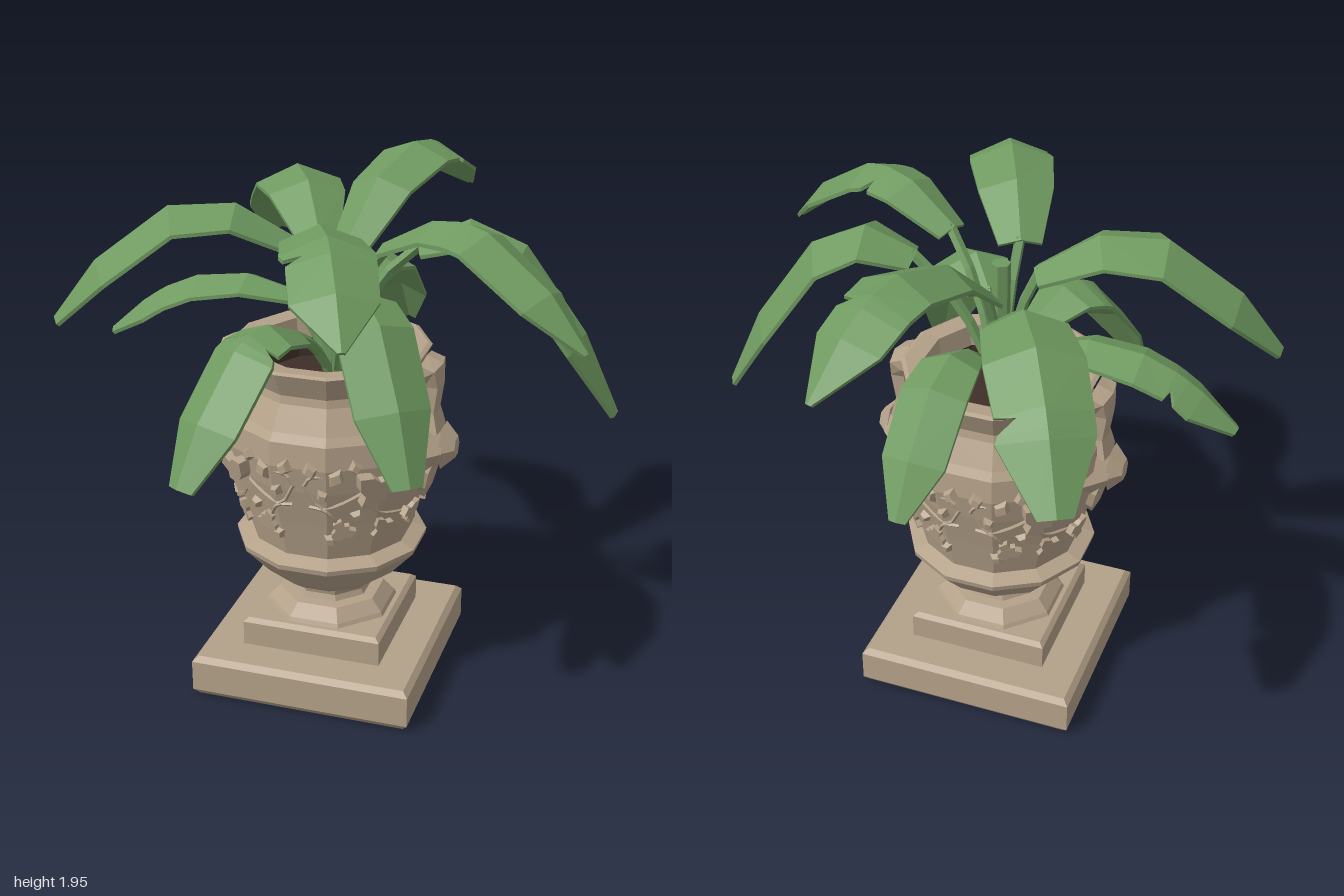
import * as THREE from 'three';

const CX = -0.04, CZ = 0.02; // axis of the urn
const V = (x, y, z) => new THREE.Vector3(x, y, z);
const mat = (name, color) => {
  const m = new THREE.MeshStandardMaterial({ color });
  m.name = name;
  return m;
};

// Give every face its own flat normal
function flat(geo) {
  const g = geo.index ? geo.toNonIndexed() : geo;
  g.computeVertexNormals();
  return g;
}

// Faceted lathe with a flat side to the front; radii are measured to the flats
function turned(profile, sides) {
  const k = 1 / Math.cos(Math.PI / sides);
  const pts = profile.map(([r, y]) => new THREE.Vector2(r * k, y));
  return flat(new THREE.LatheGeometry(pts, sides, Math.PI / sides));
}

// Solid roof-shaped strip along stations {p, l, r}: l and r are half widths
function strip(stations, hint, slope, thick) {
  const n = stations.length, pos = [], idx = [];
  const side = stations[n - 1].p.clone().sub(stations[0].p).cross(hint).normalize();
  stations.forEach(({ p, l, r }, i) => {
    const t = stations[Math.min(i + 1, n - 1)].p.clone().sub(stations[Math.max(i - 1, 0)].p);
    const up = side.clone().cross(t).normalize();
    const at = (w, h) => pos.push(...p.clone().addScaledVector(side, w).addScaledVector(up, h).toArray());
    at(-l, -l * slope); at(0, 0); at(r, -r * slope);
    at(r, -r * slope - thick); at(0, -thick); at(-l, -l * slope - thick);
  });
  for (let i = 0; i < n - 1; i++) {
    for (let k = 0; k < 6; k++) {
      const a = i * 6 + k, d = i * 6 + (k + 1) % 6;
      idx.push(a, d, d + 6, a, d + 6, a + 6);
    }
  }
  const e = (n - 1) * 6;
  for (const [a, b, c] of [[0, 1, 4], [0, 4, 5], [1, 2, 3], [1, 3, 4]]) {
    idx.push(a, c, b, e + a, e + b, e + c);
  }
  const g = new THREE.BufferGeometry();
  g.setAttribute('position', new THREE.Float32BufferAttribute(pos, 3));
  g.setIndex(idx);
  return flat(g);
}

// Point on a leaf's midrib: straight in plan, height a parabola through three values
function midrib([x0, z0, x1, z1, y0, yMid, y1], t) {
  const y = y0 * (2 * t - 1) * (t - 1) + yMid * 4 * t * (1 - t) + y1 * t * (2 * t - 1);
  return V(x0 + (x1 - x0) * t, y, z0 + (z1 - z0) * t);
}

// Blade stations; a torn notch narrows one side briefly
function bladeStations(leaf, halfWidth, tip, notchAt, notchSide) {
  const outline = [[0, 0.5], [0.25, 0.88], [0.52, 1], [0.82, 0.9 + tip * 0.2], [1, tip]];
  const out = outline.map(([t, w]) => ({ t, p: midrib(leaf, t), l: w * halfWidth, r: w * halfWidth }));
  if (notchSide) {
    for (const [dt, cut] of [[-0.02, 0.95], [0, 0.55], [0.04, 0.92]]) {
      const t = notchAt + dt, w = halfWidth * 0.98;
      out.push({ t, p: midrib(leaf, t), l: notchSide < 0 ? w * cut : w, r: notchSide > 0 ? w * cut : w });
    }
  }
  return out.sort((a, b) => a.t - b.t);
}

// Outer wall of the bowl
const WALL = [
  [0.19, 0.405], [0.255, 0.455], [0.345, 0.56], [0.348, 0.58], [0.295, 0.603], [0.33, 0.75],
  [0.37, 0.90], [0.39, 1.0], [0.385, 1.09], [0.365, 1.12], [0.32, 1.21], [0.315, 1.24], [0.355, 1.33],
];
function onWall(angle, y, out) {
  const i = WALL.findIndex((w) => w[1] >= y);
  const [r0, y0] = WALL[i - 1], [r1, y1] = WALL[i];
  const step = Math.PI / 6;
  const apothem = r0 + (r1 - r0) * (y - y0) / (y1 - y0);
  const r = apothem / Math.cos(angle - Math.round(angle / step) * step) + out;
  return V(Math.sin(angle) * r, y, Math.cos(angle) * r);
}

export function createModel() {
  const stone = mat('stone', 0xb4a189);
  const green = mat('leaf green', 0x6f9a60);
  const earth = mat('dark earth', 0x3e2e28);
  const model = new THREE.Group();
  const urn = new THREE.Group();
  urn.name = 'urn';
  urn.position.set(CX, 0, CZ);
  model.add(urn);
  const add = (parent, name, geo, material) => {
    const m = new THREE.Mesh(geo, material);
    m.name = name;
    parent.add(m);
    return m;
  };

  // Stepped square base, foot and bowl
  add(urn, 'base', turned([[0, 0], [0.4, 0], [0.42, 0.025], [0.42, 0.145], [0.4, 0.165], [0, 0.165]], 4), stone);
  add(urn, 'plinth', turned([[0.267, 0.16], [0.267, 0.26], [0.25, 0.275], [0, 0.275]], 4), stone);
  add(urn, 'foot', turned([[0.235, 0.27], [0.225, 0.29], [0.185, 0.335], [0.145, 0.338], [0.137, 0.36], [0.15, 0.41]], 8), stone);
  add(urn, 'bowl', turned([[0, 0.405], ...WALL, [0.34, 1.337], [0.275, 1.33], [0.265, 1.25]], 12), stone);
  add(urn, 'innerWall', turned([[0.265, 1.25], [0.255, 1.17]], 12), earth);
  add(urn, 'soil', turned([[0.26, 1.18], [0, 1.2]], 12), earth);

  // Strap handles with medallion and hanging leaf
  for (const s of [1, -1]) {
    const handle = new THREE.Group();
    handle.name = s > 0 ? 'leftHandle' : 'rightHandle';
    urn.add(handle);
    const out = V(s, 0, 0);
    const bar = (list) => list.map(([x, y, w]) => ({ p: V(x * s, y, 0), l: w, r: w }));
    add(handle, 'strap', strip(bar([
      [0.36, 1.325, 0.08], [0.42, 1.30, 0.08], [0.425, 1.22, 0.055], [0.41, 1.12, 0.05], [0.43, 1.05, 0.065],
    ]), out, 0.2, 0.05), stone);
    const flare = add(handle, 'medallion', flat(new THREE.CylinderGeometry(0.085, 0.17, 0.08, 6)), stone);
    flare.rotation.z = -s * Math.PI / 2;
    flare.position.set(s * 0.40, 0.98, 0);
    flare.scale.x = 0.62;
    const boss = add(handle, 'medallionBoss', flat(new THREE.CylinderGeometry(0.04, 0.09, 0.05, 6)), stone);
    boss.rotation.z = -s * Math.PI / 2;
    boss.position.set(s * 0.453, 0.98, 0);
    add(handle, 'hangingLeaf', strip(bar([
      [0.425, 0.95, 0.06], [0.41, 0.89, 0.08], [0.39, 0.82, 0.065], [0.362, 0.76, 0.005],
    ]), out, 0.2, 0.04), stone);
  }

  // Carved vine: leaves [angle, height, size, tilt] and curling stems [angle, height]
  const half = [[0.25, -0.45], [0.8, -0.65], [1, -0.05], [0.5, 0.15], [0.45, 0.55]];
  const mirrored = half.map(([x, y]) => [-x, y]).reverse();
  const lobes = new THREE.Shape([[0, -0.7], ...half, [0, 1], ...mirrored].map((p) => new THREE.Vector2(...p)));
  const lobed = flat(new THREE.ExtrudeGeometry(lobes, { depth: 0.6, bevelEnabled: false }));
  const diamond = flat(new THREE.CylinderGeometry(0.55, 1, 0.8, 4).rotateX(Math.PI / 2).translate(0, 0, 0.35));
  const sprigs = [
    [7, 1.0, 0.038, 0.3], [20, 0.975, 0.045, -0.5], [40, 0.925, 0.09, 0.8], [24, 0.74, 0.055, 2.4],
    [50, 0.73, 0.055, 0.5], [73, 0.75, 0.055, -0.8], [13, 0.90, 0.03, 0.6], [33, 0.80, 0.033, 1.2],
    [30, 1.01, 0.033, 0.2], [17, 0.70, 0.033, 0.9],
  ];
  const vines = [
    [[3, 0.93], [12, 0.84], [24, 0.86], [40, 0.92]],
    [[5, 0.84], [14, 0.83], [24, 0.74]],
    [[36, 0.88], [46, 0.80], [73, 0.75]],
    [[3, 0.93], [7, 0.97], [20, 0.97]],
  ];
  for (const turn of [0, Math.PI]) {
    const relief = new THREE.Group();
    relief.name = turn ? 'backRelief' : 'frontRelief';
    relief.rotation.y = turn;
    urn.add(relief);
    for (const s of [1, -1]) {
      for (const [deg, y, size, tilt] of sprigs) {
        const a = s * deg * Math.PI / 180;
        const leaf = add(relief, 'carvedLeaf', size > 0.05 ? lobed : diamond, stone);
        leaf.position.copy(onWall(a, y, -0.004));
        leaf.rotation.set(y < 0.95 ? 0.2 : 0, a, s * tilt, 'YXZ');
        leaf.scale.set(size * 0.85, size, Math.max(size * 0.75, 0.035));
      }
      for (const v of vines) {
        const curve = new THREE.CatmullRomCurve3(v.map(([d, y]) => onWall(s * d * Math.PI / 180, y, 0.002)));
        add(relief, 'carvedVine', flat(new THREE.TubeGeometry(curve, 8, 0.007, 4)), stone);
      }
    }
  }

  // Plant: each leaf is [x0, z0, x1, z1, y0, yMid, y1], then half width, tip width, notch place and side
  const plant = new THREE.Group();
  plant.name = 'plant';
  model.add(plant);
  const addLeaf = (leaf, halfWidth, tip, notchAt, notchSide) => {
    add(plant, 'leafBlade', strip(bladeStations(leaf, halfWidth, tip, notchAt, notchSide), V(0, 1, 0), 0.4, 0.014), green);
    const root = V(-0.035, 1.18, 0.02);
    const end = midrib(leaf, 0.03).add(V(0, -0.025, 0));
    const mid = root.clone().lerp(end, 0.3);
    mid.y = root.y + (end.y - root.y) * 0.7;
    const curve = new THREE.QuadraticBezierCurve3(root, mid, end);
    add(plant, 'leafStalk', flat(new THREE.TubeGeometry(curve, 4, 0.02, 5)), green);
  };
  addLeaf([-0.15, -0.18, -0.56, -0.92, 1.68, 1.82, 1.45], 0.165, 0.35, 0.75, 1);
  addLeaf([-0.02, -0.05, 0.24, -0.95, 1.66, 1.95, 1.7], 0.14, 0.08, 0.67, 1);
  addLeaf([0.27, 0, 0.99, -0.13, 1.74, 1.75, 1.13], 0.165, 0.25, 0, 0);
  addLeaf([0.19, 0.16, 0.95, 0.43, 1.77, 1.89, 1.56], 0.13, 0.12, 0.4, -1);
  addLeaf([0.06, 0.15, 0.42, 0.6, 1.55, 1.57, 1.08], 0.14, 0.4, 0, 0);
  addLeaf([-0.05, 0.18, 0.29, 0.94, 1.75, 1.92, 1.68], 0.155, 0.08, 0.6, 1);
  addLeaf([-0.1, 0.2, -0.35, 0.76, 1.43, 1.46, 1.04], 0.135, 0.4, 0.42, -1);
  addLeaf([-0.14, 0.06, -0.99, 0.32, 1.72, 1.85, 1.43], 0.16, 0.3, 0, 0);
  addLeaf([-0.2, -0.05, -0.92, -0.01, 1.49, 1.52, 1.28], 0.12, 0.25, 0.7, 1);
  addLeaf([0.01, -0.18, 0.04, -0.78, 1.5, 1.53, 1.17], 0.12, 0.25, 0, 0);
  const heart = add(plant, 'centralStem', flat(new THREE.CylinderGeometry(0.035, 0.03, 0.56, 6)), green);
  heart.position.set(-0.035, 1.46, 0.02);
  return model;
}
